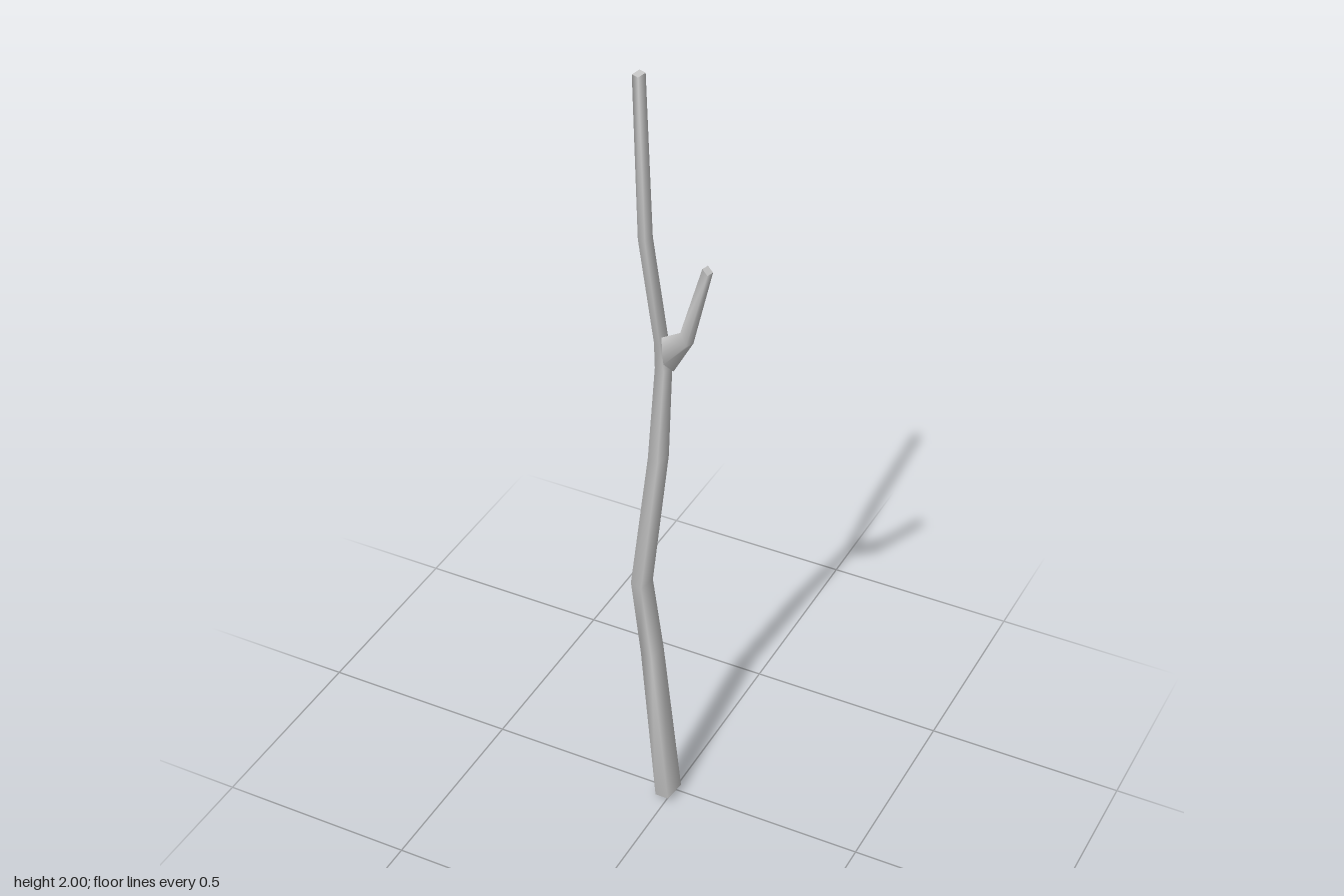
import * as THREE from 'three';

const material = new THREE.MeshStandardMaterial({ color: 0xcccccc });

// Four skewed corners around a centre; tilt slants the ring along x.
// Station: [x, y, z, width in x, width in z, tilt]
function ring([x, y, z, wx, wz, tilt = 0]) {
  const a = 0.4 * wx, b = (wz - 0.3 * wx) / 2;
  return [[1, 1], [1, -1], [-1, -1], [-1, 1]].map(([i, j]) => {
    const dx = i * a - 0.15 * j * b;
    const dz = 0.36 * i * a + j * b;
    return new THREE.Vector3(x + dx, y + tilt * dx, z + dz);
  });
}

function geometryFrom(points, index) {
  const geometry = new THREE.BufferGeometry().setFromPoints(points);
  geometry.setIndex(index);
  geometry.computeVertexNormals();
  return geometry;
}

// Smooth four-sided limb with sharp end caps
function limb(name, stations, capBottom) {
  const group = new THREE.Group();
  group.name = name;
  const rings = stations.map(ring);
  const index = [];
  for (let i = 0; i < rings.length - 1; i++) {
    for (let j = 0; j < 4; j++) {
      const p = i * 4 + j, q = i * 4 + (j + 1) % 4;
      index.push(p, q, q + 4, p, q + 4, p + 4);
    }
  }
  const add = (part, geometry) => {
    const mesh = new THREE.Mesh(geometry, material);
    mesh.name = part;
    group.add(mesh);
  };
  add(name + 'Bark', geometryFrom(rings.flat(), index));
  add(name + 'TopCut', geometryFrom(rings[rings.length - 1], [0, 1, 2, 0, 2, 3]));
  if (capBottom) add(name + 'BottomCut', geometryFrom(rings[0], [0, 2, 1, 0, 3, 2]));
  return group;
}

export function createModel() {
  const model = new THREE.Group();
  model.name = 'forkedStick';

  // Main stem, bending gently from the base to the top
  model.add(limb('stem', [
    [-0.008, 0.01, 0.018, 0.053, 0.073, 0.38],
    [-0.052, 0.45, 0.016, 0.044, 0.064, 0.1],
    [-0.071, 0.67, 0.031, 0.042, 0.06],
    [-0.058, 1.0, -0.032, 0.038, 0.057, -0.05],
    [-0.034, 1.27, -0.013, 0.034, 0.044],
    [-0.035, 1.345, -0.004, 0.023, 0.04],
    [-0.062, 1.62, 0.018, 0.027, 0.037, 0.1],
    [-0.091, 2.0, -0.013, 0.023, 0.034],
  ], true));

  // Side branch growing out of the fork
  model.add(limb('branch', [
    [-0.024, 1.308, -0.01, 0.012, 0.042, -7],
    [0.031, 1.375, 0.0, 0.022, 0.035, -1.6],
    [0.091, 1.58, 0.02, 0.019, 0.027, -0.7],
  ], false));

  return model;
}
